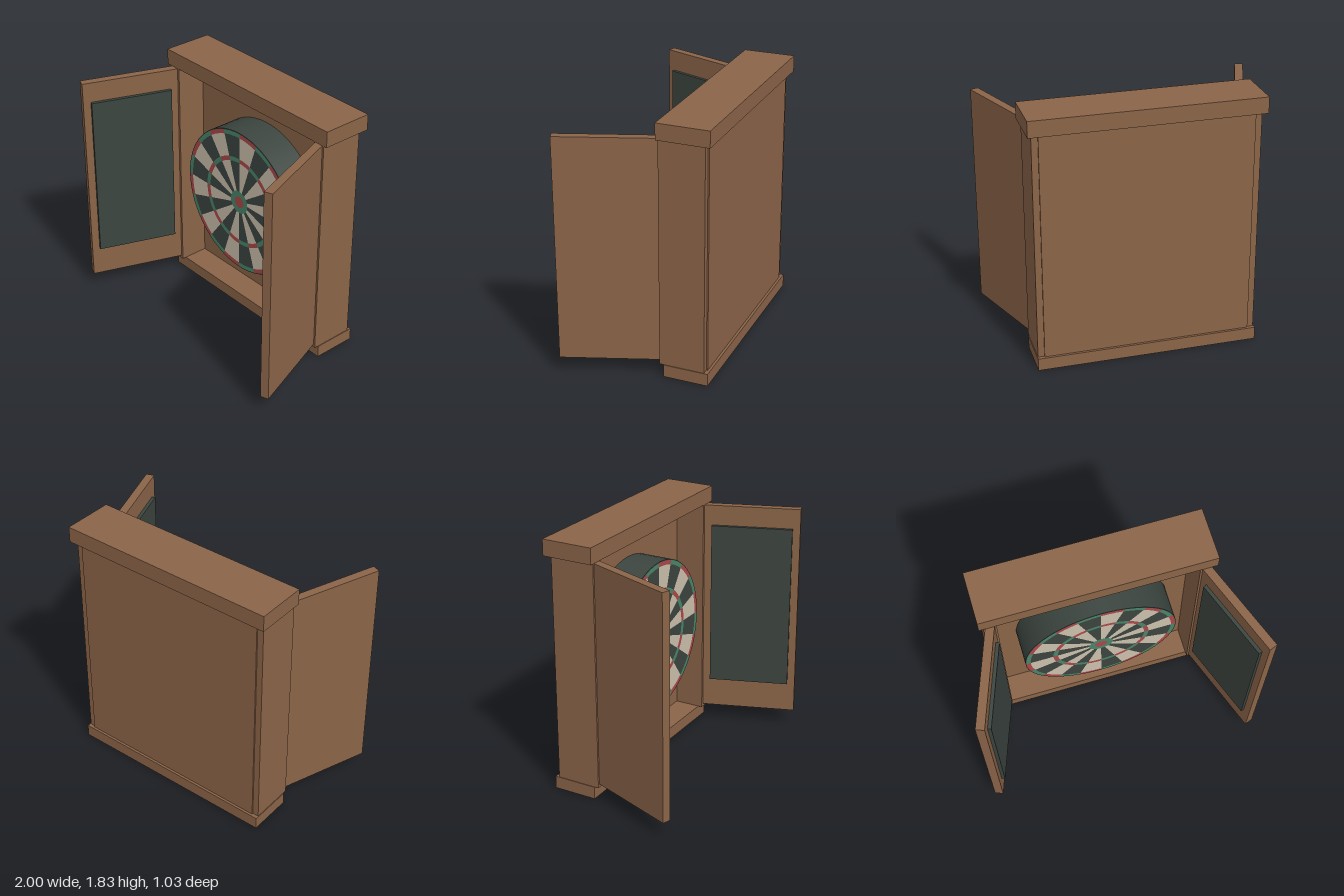
import * as THREE from 'three';
import { mergeGeometries } from 'three/addons/utils/BufferGeometryUtils.js';

function material(name, color) {
  const m = new THREE.MeshStandardMaterial({ color });
  m.name = name;
  return m;
}

export function createModel() {
  const wood = material('wood', 0x8b6448);
  const dark = material('charcoal', 0x3c4540);
  const cream = material('cream', 0xcbc1ad);
  const red = material('red', 0xab484a);
  const green = material('green', 0x4a866a);

  const model = new THREE.Group();
  model.name = 'dartboardCabinet';

  function add(parent, name, geometry, mat) {
    const mesh = new THREE.Mesh(geometry, mat);
    mesh.name = name;
    parent.add(mesh);
    return mesh;
  }

  // Box given by its lower and upper corners
  function box(parent, name, mat, [x0, y0, z0], [x1, y1, z1]) {
    const g = new THREE.BoxGeometry(x1 - x0, y1 - y0, z1 - z0);
    g.translate((x0 + x1) / 2, (y0 + y1) / 2, (z0 + z1) / 2);
    return add(parent, name, g, mat);
  }

  // Cabinet case
  box(model, 'topCap', wood, [-0.81, 1.715, -0.515], [0.81, 1.83, -0.145]);
  box(model, 'bottomBoard', wood, [-0.785, 0, -0.5], [0.785, 0.09, -0.18]);
  box(model, 'backPanel', wood, [-0.735, 0.09, -0.482], [0.735, 1.715, -0.37]);

  for (const side of [1, -1]) {
    const label = side > 0 ? 'left' : 'right';
    const inner = side * 0.69, outer = side * 0.78;
    box(model, label + 'SideWall', wood,
      [Math.min(inner, outer), 0.09, -0.472], [Math.max(inner, outer), 1.715, -0.15]);

    // Open door, hinged on its outer back edge and swung out by 20 degrees
    const door = new THREE.Group();
    door.name = label + 'Door';
    door.position.set(side * 0.76, 0, -0.168);
    door.rotation.y = side * THREE.MathUtils.degToRad(20);
    const a = -side * 0.06, b = -side * 0.085;
    box(door, label + 'DoorPanel', wood,
      [Math.min(0, a), 0.115, 0], [Math.max(0, a), 1.712, 0.7]);
    box(door, label + 'DoorPad', dark,
      [Math.min(a, b), 0.34, 0.055], [Math.max(a, b), 1.563, 0.645]);
    model.add(door);
  }

  // Dartboard, centred on its own group with the face towards +z
  const board = new THREE.Group();
  board.name = 'dartboard';
  board.position.set(0, 0.94, -0.122);
  model.add(board);

  const body = new THREE.CylinderGeometry(0.55, 0.55, 0.25, 60);
  body.rotateX(Math.PI / 2).translate(0, 0, -0.125);
  add(board, 'boardBody', body, dark);

  // Every second of the twenty sectors, clockwise from the top
  const step = Math.PI / 10;
  function sectors(parity, bands) {
    const parts = [];
    for (let i = parity; i < 20; i += 2) {
      for (const [r0, r1] of bands) {
        parts.push(new THREE.RingGeometry(r0, r1, 3, 1, Math.PI / 2 - (i + 1) * step, step));
      }
    }
    return mergeGeometries(parts).translate(0, 0, 0.002);
  }

  const scoringRings = [[0.315, 0.348], [0.513, 0.544]];
  add(board, 'creamSectors', sectors(0, [[0.085, 0.315], [0.348, 0.513]]), cream);
  add(board, 'redRingSectors', sectors(0, scoringRings), red);
  add(board, 'greenRingSectors', sectors(1, scoringRings), green);

  // Centre rings
  add(board, 'outerBull', new THREE.RingGeometry(0.045, 0.087, 40).translate(0, 0, 0.003), green);
  add(board, 'innerBull', new THREE.CircleGeometry(0.045, 40).translate(0, 0, 0.003), red);

  return model;
}
